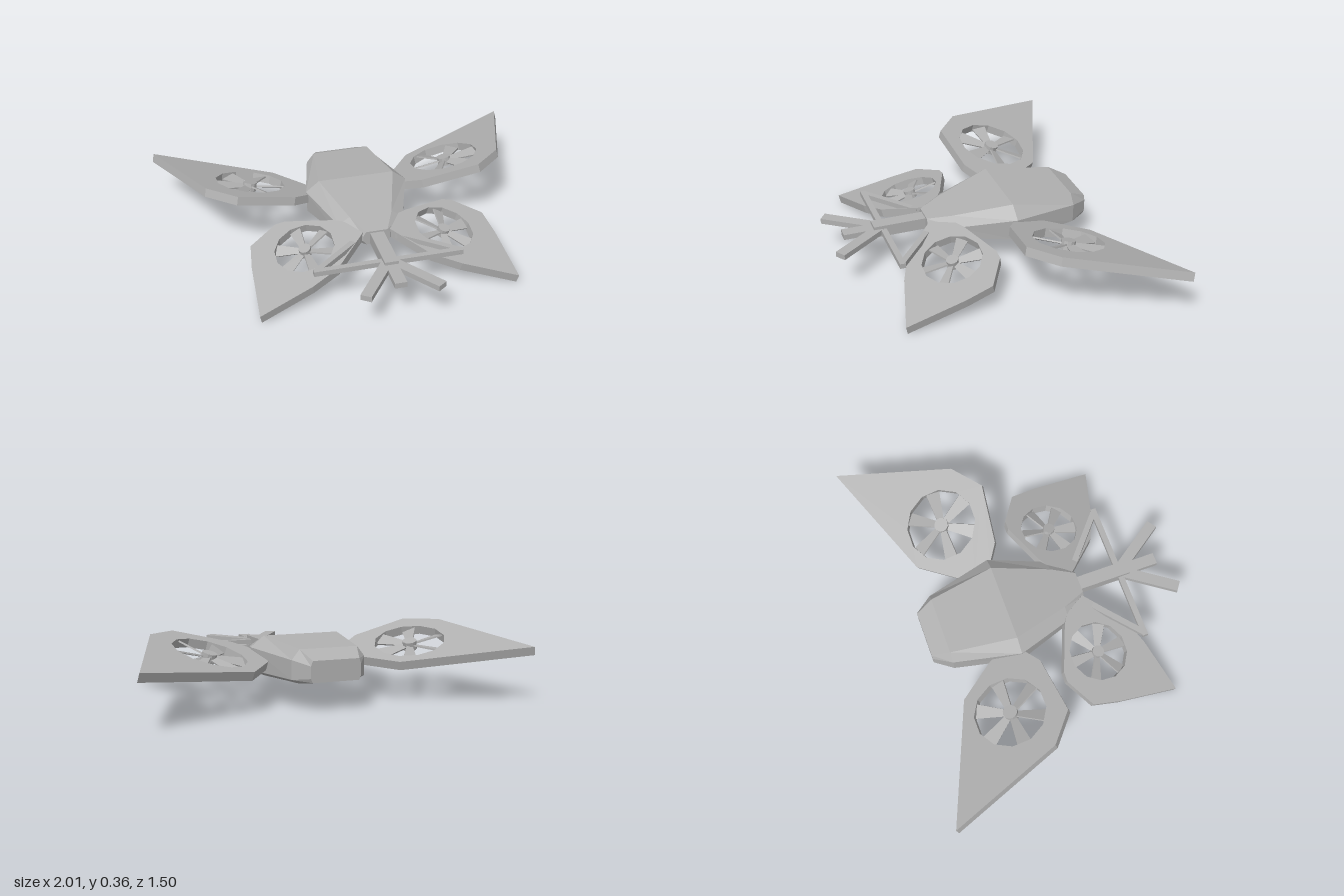
import * as THREE from 'three';
import { mergeGeometries } from 'three/addons/utils/BufferGeometryUtils.js';

export function createModel() {
  const model = new THREE.Group();
  const gray = new THREE.MeshStandardMaterial({ color: 0xb0b0b0, flatShading: true });
  gray.name = 'gray';

  const add = (name, geometry, parent = model) => {
    const mesh = new THREE.Mesh(geometry, gray);
    mesh.name = name;
    parent.add(mesh);
    return mesh;
  };
  const box = (name, w, h, d, x, y, z, turn = 0) => {
    const mesh = add(name, new THREE.BoxGeometry(w, h, d));
    mesh.position.set(x, y, z);
    mesh.rotation.y = turn;
    return mesh;
  };
  // bar lying flat between two points in the x-z plane
  const bar = (name, x1, z1, x2, z2, width, height, y) =>
    box(name, width, height, Math.hypot(x2 - x1, z2 - z1),
      (x1 + x2) / 2, y, (z1 + z2) / 2, Math.atan2(x2 - x1, z2 - z1));

  // body: eight-sided sections from tail to nose
  // z, then half-width and height of top, upper side, lower side and bottom
  const sections = [
    [-0.59, 0.12, 0.25, 0.13, 0.225, 0.13, 0.165, 0.12, 0.145],
    [-0.5, 0.15, 0.295, 0.19, 0.245, 0.19, 0.15, 0.15, 0.13],
    [-0.16, 0.2, 0.32, 0.27, 0.265, 0.265, 0.15, 0.2, 0.12],
    [0.13, 0.11, 0.262, 0.17, 0.225, 0.17, 0.165, 0.11, 0.135],
    [0.25, 0.055, 0.237, 0.07, 0.215, 0.07, 0.185, 0.055, 0.165],
  ];
  const positions = [], indices = [];
  for (const [z, ...p] of sections) {
    for (const k of [0, 2, 4, 6]) positions.push(-p[k], p[k + 1], z);
    for (const k of [6, 4, 2, 0]) positions.push(p[k], p[k + 1], z);
  }
  for (let r = 0; r < sections.length - 1; r++) {
    for (let i = 0; i < 8; i++) {
      const a = r * 8 + i, b = r * 8 + (i + 1) % 8;
      indices.push(a, b, b + 8, a, b + 8, a + 8);
    }
  }
  const last = (sections.length - 1) * 8;
  for (let i = 1; i < 7; i++) {
    indices.push(0, i + 1, i);
    indices.push(last, last + i, last + i + 1);
  }
  const bodyGeometry = new THREE.BufferGeometry();
  bodyGeometry.setAttribute('position', new THREE.Float32BufferAttribute(positions, 3));
  bodyGeometry.setIndex(indices);
  const flatBody = bodyGeometry.toNonIndexed();
  flatBody.computeVertexNormals();
  add('body', flatBody);

  // belly hatch with a raised rim
  const rim = new THREE.Shape([[-0.1, -0.185], [0.1, -0.185], [0.1, 0.185], [-0.1, 0.185]]
    .map(([x, y]) => new THREE.Vector2(x, y)));
  rim.holes.push(new THREE.Path([[-0.08, -0.165], [-0.08, 0.165], [0.08, 0.165], [0.08, -0.165]]
    .map(([x, y]) => new THREE.Vector2(x, y))));
  const hatchRim = add('hatchRim', new THREE.ExtrudeGeometry(rim, { depth: 0.03, bevelEnabled: false }));
  hatchRim.rotation.x = Math.PI / 2;
  hatchRim.position.set(0, 0.136, -0.175);
  box('hatch', 0.16, 0.02, 0.33, 0, 0.121, -0.175);

  // wings: plan outline (x, z) on the sloped plane y = a + b x + c z, with a ducted fan
  const wings = [
    {
      name: 'rear', a: 0.235, b: 0.206, c: 0.216, fan: [0.535, -0.32], radius: 0.18, phase: 0.05,
      outline: [[0.995, -0.755], [0.38, -0.51], [0.245, -0.33], [0.2, -0.25], [0.2, -0.19],
        [0.25, -0.15], [0.34, -0.09], [0.64, -0.055], [0.785, -0.175]],
    },
    {
      name: 'front', a: 0.299, b: -0.2, c: -0.225, fan: [0.365, 0.22], radius: 0.15, phase: -0.4,
      outline: [[0.655, 0.545], [0.38, 0.47], [0.24, 0.41], [0.07, 0.24], [0.14, 0.13],
        [0.19, 0.1], [0.42, 0.01], [0.47, 0.01], [0.615, 0.1], [0.636, 0.24]],
    },
  ];
  const thickness = 0.045;

  for (const { name, a, b, c, fan, radius, phase, outline } of wings) {
    for (const side of [1, -1]) {
      const group = new THREE.Group();
      group.name = (side > 0 ? 'left ' : 'right ') + name + ' wing';
      model.add(group);

      // local z runs down through the wing from its upper face
      const down = new THREE.Vector3(side * b, -1, c).normalize();
      const slope = new THREE.Matrix4().makeBasis(
        new THREE.Vector3(1, side * b, 0), new THREE.Vector3(0, c, 1), down);
      slope.setPosition(0, a, 0);

      const shape = new THREE.Shape(outline.map(([x, z]) => new THREE.Vector2(side * x, z)));
      const hole = [];
      for (let i = 0; i < 12; i++) {
        const t = (i + 0.5) / 12 * Math.PI * 2;
        hole.push(new THREE.Vector2(side * fan[0] + radius * Math.cos(t), fan[1] + radius * Math.sin(t)));
      }
      shape.holes.push(new THREE.Path(hole));
      const panel = new THREE.ExtrudeGeometry(shape, { depth: thickness, bevelEnabled: false });
      add('wingPanel', panel.applyMatrix4(slope), group);

      // six tapered, pitched blades
      const blades = [];
      for (let i = 0; i < 6; i++) {
        const r = radius * 0.97, w = radius * 0.2;
        const blade = new THREE.Shape([[0.01, -w * 0.4], [r, -w], [r, w], [0.01, w * 0.4]]
          .map(([x, y]) => new THREE.Vector2(x, y)));
        const g = new THREE.ExtrudeGeometry(blade, { depth: 0.008, bevelEnabled: false });
        g.translate(0, 0, -0.004);
        g.rotateX(side * 0.35);
        g.rotateZ(side * phase + i * Math.PI / 3);
        blades.push(g);
      }
      const place = g => g.translate(side * fan[0], fan[1], thickness / 2).applyMatrix4(slope);
      add('fanBlades', place(mergeGeometries(blades)), group);
      const hub = new THREE.CylinderGeometry(radius * 0.2, radius * 0.2, thickness, 12);
      add('fanHub', place(hub.rotateX(Math.PI / 2)), group);
    }
  }

  // nose boom, cross bar, braces and prongs
  box('noseBoom', 0.07, 0.06, 0.3, 0, 0.198, 0.37);
  box('crossBar', 0.75, 0.026, 0.03, 0, 0.198, 0.471);
  box('centreProng', 0.06, 0.028, 0.2, 0, 0.198, 0.575);
  for (const s of [1, -1]) {
    bar('brace', s * 0.365, 0.475, s * 0.1, 0.25, 0.03, 0.026, 0.198);
    bar('sideProng', s * 0.015, 0.49, s * 0.187, 0.733, 0.056, 0.028, 0.198);
  }
  return model;
}
